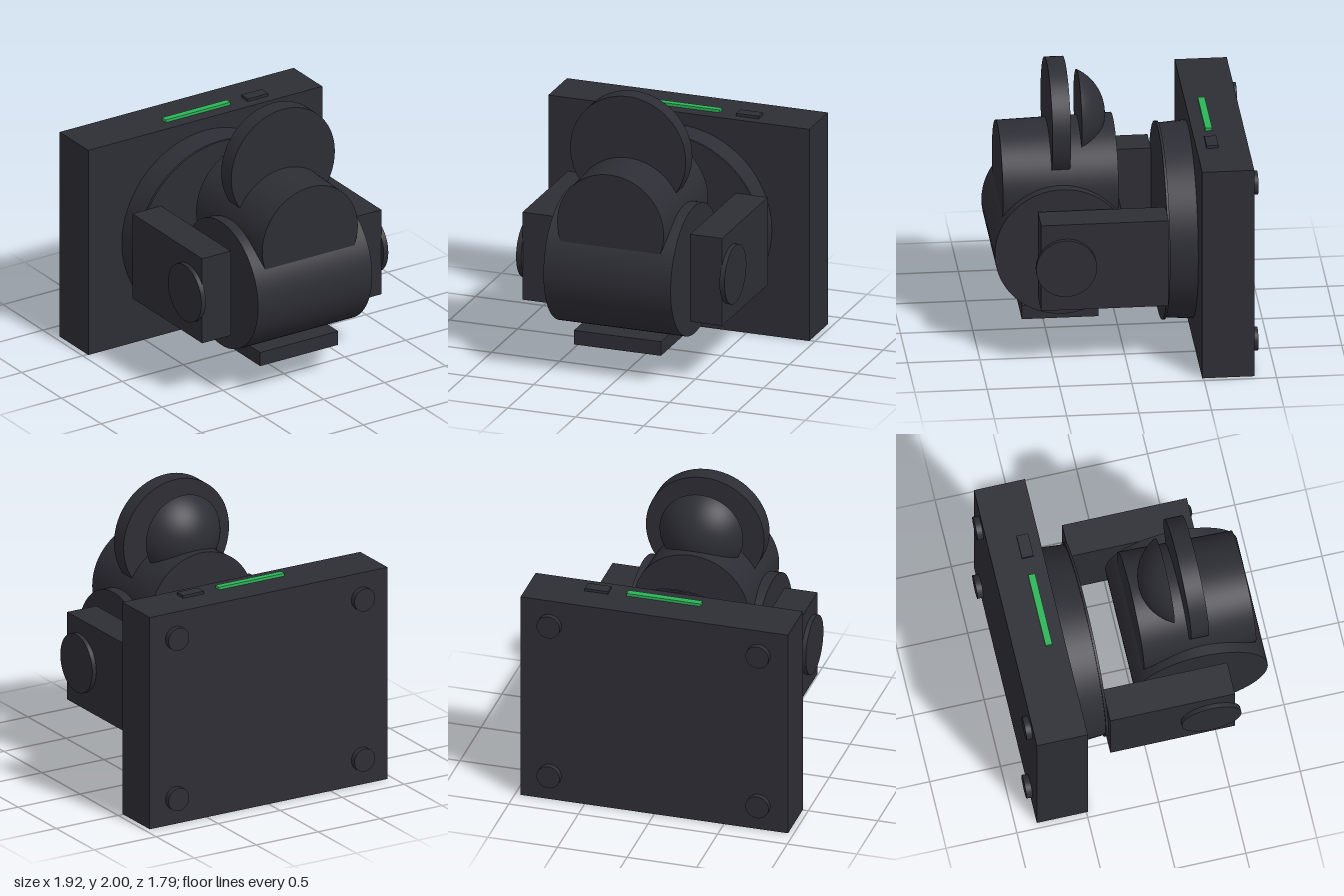
import * as THREE from 'three';

export function createModel() {
  const model = new THREE.Group();
  const dark = new THREE.MeshStandardMaterial({ color: 0x2d2d35 });
  dark.name = 'charcoal';
  const green = new THREE.MeshStandardMaterial({ color: 0x2db457 });
  green.name = 'indicatorGreen';

  function add(name, geometry, x, y, z, material = dark) {
    const mesh = new THREE.Mesh(geometry, material);
    mesh.name = name;
    mesh.position.set(x, y, z);
    model.add(mesh);
    return mesh;
  }
  // box given by its lower and upper limits on each axis
  function box(name, [x0, x1], [y0, y1], [z0, z1], material) {
    return add(name, new THREE.BoxGeometry(x1 - x0, y1 - y0, z1 - z0),
      (x0 + x1) / 2, (y0 + y1) / 2, (z0 + z1) / 2, material);
  }
  // round part along z, from z0 (back) to z1 (front)
  function roundZ(name, x, y, z0, z1, rBack, rFront = rBack) {
    const g = new THREE.CylinderGeometry(rFront, rBack, z1 - z0, 64).rotateX(Math.PI / 2);
    return add(name, g, x, y, (z0 + z1) / 2);
  }
  // round part along x, from x0 to x1
  function roundX(name, x0, x1, y, z, r) {
    const g = new THREE.CylinderGeometry(r, r, x1 - x0, 64).rotateZ(-Math.PI / 2);
    return add(name, g, (x0 + x1) / 2, y, z);
  }

  // wall base with feet, indicator and button
  box('base', [-0.96, 0.96], [0, 1.55], [-0.85, -0.49]);
  for (const x of [-0.75, 0.75]) {
    for (const y of [0.19, 1.363]) roundZ('foot', x, y, -0.892, -0.85, 0.083);
  }
  box('indicatorStrip', [-0.265, 0.265], [1.545, 1.57], [-0.628, -0.58], green);
  box('button', [0.395, 0.562], [1.54, 1.57], [-0.642, -0.56]);

  // turntable with a thin front rim
  roundZ('turntable', 0, 0.775, -0.49, -0.29, 0.685, 0.67);
  roundZ('turntableRim', 0, 0.775, -0.298, -0.28, 0.685);

  // side arms with pivot caps
  for (const s of [-1, 1]) {
    const span = (a, b) => (s > 0 ? [a, b] : [-b, -a]);
    box('arm', span(0.5, 0.735), [0.455, 1.095], [-0.28, 0.6]);
    const [c0, c1] = span(0.73, 0.767);
    roundX('pivotCap', c0, c1, 0.778, 0.428, 0.21);
  }

  // tilting head drum and tapered barrel
  roundX('headDrum', -0.468, 0.468, 0.775, 0.428, 0.466);
  roundZ('barrel', 0, 1.15, 0.032, 0.83, 0.415, 0.392);

  // upright disc and the dome behind it
  roundZ('disc', 0, 1.575, 0.363, 0.49, 0.425);
  const R = 0.335, rim = 0.3;
  const cap = new THREE.SphereGeometry(R, 64, 20, 0, Math.PI * 2, 0, Math.asin(rim / R)).rotateX(-Math.PI / 2);
  add('dome', cap, 0, 1.61, 0.275 - Math.sqrt(R * R - rim * rim) + 2 * Math.sqrt(R * R - rim * rim));
  add('domeFace', new THREE.CircleGeometry(rim, 64), 0, 1.61, 0.275);

  // mounting plate under the head with its lock and pin
  box('mountPlate', [-0.32, 0.32], [0.213, 0.316], [0.162, 0.693]);
  roundZ('lockKnob', -0.192, 0.19, 0.26, 0.385, 0.05);
  box('plateLatch', [0.047, 0.207], [0.17, 0.22], [0.293, 0.352]);

  return model;
}
